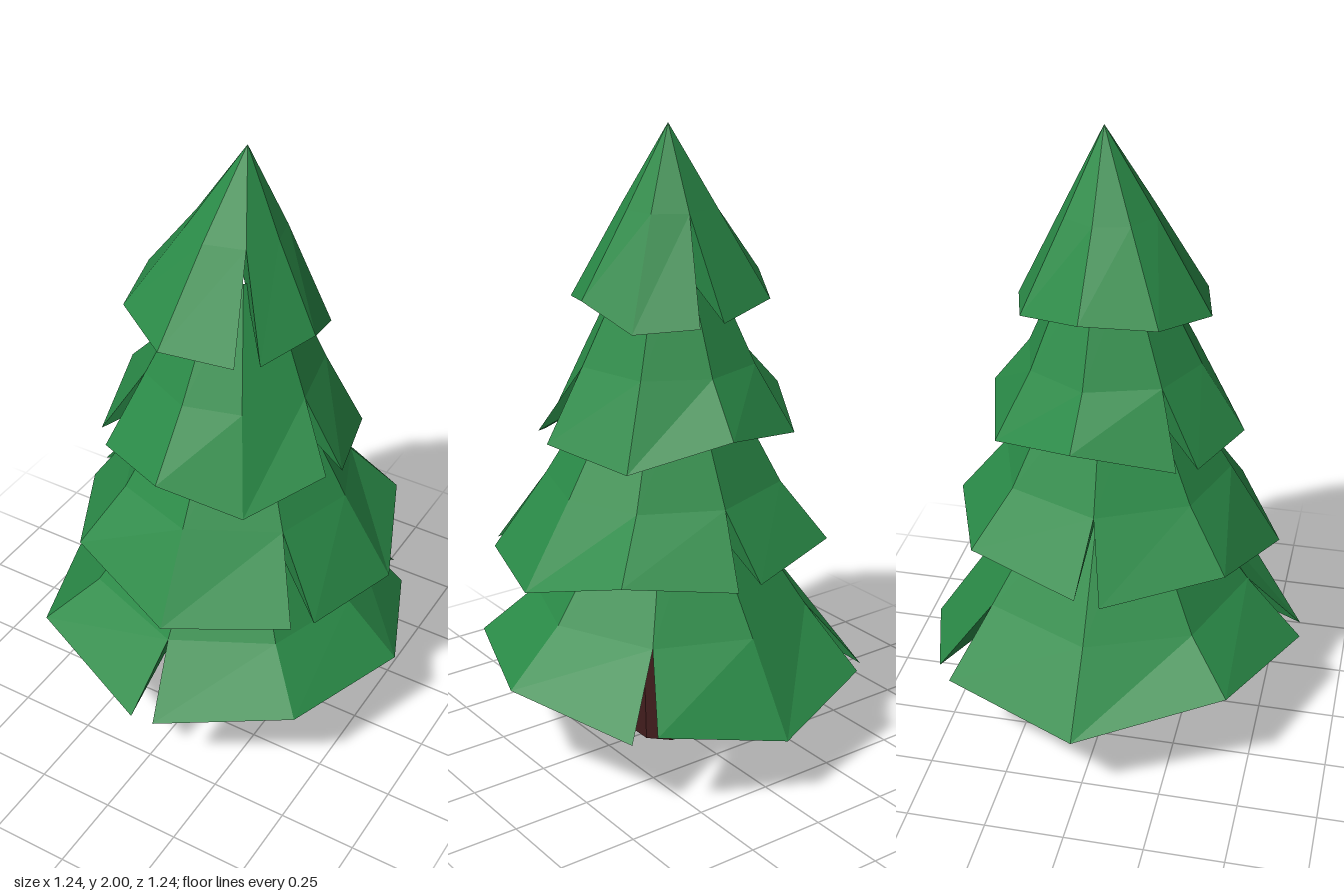
import * as THREE from 'three';

const leafMat = new THREE.MeshStandardMaterial({ color: 0x2a8a47, flatShading: true });
const barkMat = new THREE.MeshStandardMaterial({ color: 0x411c1c, flatShading: true });

const SLIT = 0.038; // half the width of a slit at the rim

// Axis of the slightly leaning tree
const axisAt = (y) => new THREE.Vector3(0.02 * y, y, -0.02 * y);

// Point at height y, a share of the way from the axis out to p
function toward(p, share, y) {
  const axis = axisAt(y);
  return new THREE.Vector3().lerpVectors(axis, p, share).setY(y);
}

function meshFromTriangles(points, material, name) {
  const g = new THREE.BufferGeometry().setFromPoints(points);
  g.computeVertexNormals();
  const mesh = new THREE.Mesh(g, material);
  mesh.name = name;
  return mesh;
}

// A tier is a ring of strips with V-shaped slits between them. Each strip starts
// at a slit angle, in degrees from +x towards +z, and lists its rim heights.
function makeTier(name, { x, radius, mid, top, inner, strips }) {
  const points = [];
  const tri = (...corners) => points.push(...corners);
  const quad = (a, b, c, d) => tri(a, b, c, a, c, d);
  const rimPoint = (angle, y) =>
    new THREE.Vector3(x + radius * Math.cos(angle), y, radius * Math.sin(angle));
  const gap = SLIT / radius;

  strips.forEach(({ from, rim }, s) => {
    const next = s + 1 < strips.length ? strips[s + 1].from : strips[0].from + 360;
    const start = THREE.MathUtils.degToRad(from);
    const end = THREE.MathUtils.degToRad(next);
    const last = rim.length - 1;

    // Each column runs from the top over the kink and the rim to the underside;
    // at a slit only the rim point moves aside.
    const columns = rim.map((y, i) => {
      const t = i / last;
      const angle = THREE.MathUtils.lerp(start + gap, end - gap, t);
      const guideAngle = i === 0 ? start : i === last ? end : angle;
      const guide = rimPoint(guideAngle, y);
      return {
        top: toward(guide, ...top),
        mid: toward(guide, ...mid),
        rim: rimPoint(angle, y),
        inner: toward(guide, 0.14, inner),
      };
    });

    for (let i = 0; i < last; i++) {
      const a = columns[i], b = columns[i + 1];
      quad(a.top, b.top, b.mid, a.mid);
      quad(a.mid, b.mid, b.rim, a.rim);
      quad(a.rim, b.rim, b.inner, a.inner);
    }
    // Slit walls
    const a = columns[0], b = columns[last];
    tri(a.mid, a.rim, a.inner);
    tri(b.mid, b.inner, b.rim);
  });
  return meshFromTriangles(points, leafMat, name);
}

// Leaning eight-sided trunk, narrower above the foot
function makeTrunk() {
  const sides = 8;
  const rings = [[0.02, 0, 0.01, 0.112], [0.035, 0.28, 0.02, 0.09], [0.03, 0.64, 0, 0.085]]
    .map(([x, y, z, r]) => ({
      centre: new THREE.Vector3(x, y, z),
      at: (i) => {
        const a = ((i + 0.5) / sides) * Math.PI * 2;
        return new THREE.Vector3(x + r * Math.cos(a), y, z + r * Math.sin(a));
      },
    }));
  const [foot, , head] = rings;
  const points = [];
  for (let i = 0; i < sides; i++) {
    for (let k = 0; k < rings.length - 1; k++) {
      const low = rings[k], high = rings[k + 1];
      points.push(high.at(i), high.at(i + 1), low.at(i + 1));
      points.push(high.at(i), low.at(i + 1), low.at(i));
    }
    points.push(foot.centre, foot.at(i), foot.at(i + 1));
    points.push(head.centre, head.at(i + 1), head.at(i));
  }
  return meshFromTriangles(points, barkMat, 'trunk');
}

export function createModel() {
  const tree = new THREE.Group();
  tree.name = 'firTree';
  tree.add(makeTrunk());

  tree.add(makeTier('bottomBranches', {
    x: 0, radius: 0.62, mid: [0.71, 0.49], top: [0.28, 0.88], inner: 0.58,
    strips: [
      { from: -47, rim: [0.26, 0.32, 0.33, 0.3] },
      { from: 85, rim: [0.3, 0.36, 0.26, 0.28] },
      { from: 230, rim: [0.29, 0.22, 0.29] },
    ],
  }));

  tree.add(makeTier('lowerMiddleBranches', {
    x: 0.04, radius: 0.53, mid: [0.7, 0.9], top: [0.3, 1.27], inner: 0.88,
    strips: [
      { from: -84, rim: [0.7, 0.73, 0.64, 0.66] },
      { from: 38, rim: [0.66, 0.63, 0.72, 0.68] },
      { from: 178, rim: [0.7, 0.72, 0.71] },
    ],
  }));

  tree.add(makeTier('upperMiddleBranches', {
    x: 0.02, radius: 0.41, mid: [0.68, 1.28], top: [0.28, 1.62], inner: 1.25,
    strips: [
      { from: 12, rim: [1.08, 1, 1.07, 1.06] },
      { from: 137, rim: [1.07, 1.14, 1.07, 1.12, 1.03, 1.06] },
    ],
  }));

  tree.add(makeTier('topBranches', {
    x: 0, radius: 0.31, mid: [0.48, 1.75], top: [0, 2], inner: 1.6,
    strips: [
      { from: -77, rim: [1.44, 1.42, 1.49, 1.46] },
      { from: 49, rim: [1.46, 1.47, 1.5, 1.52, 1.48, 1.45] },
    ],
  }));
  return tree;
}
